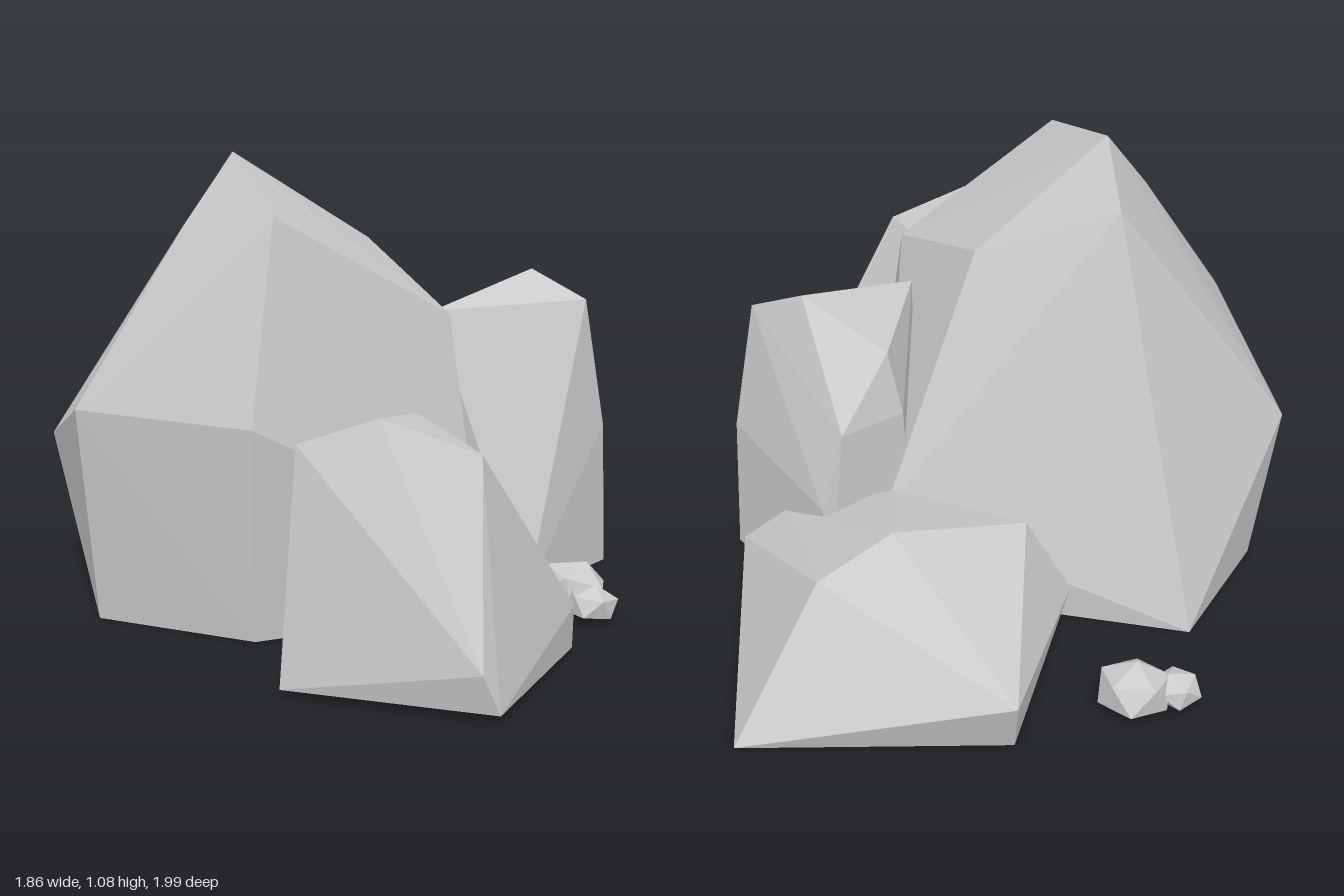
import * as THREE from 'three';
import { ConvexGeometry } from 'three/addons/geometries/ConvexGeometry.js';

const material = new THREE.MeshStandardMaterial({
  color: 0xcccccc, flatShading: true, side: THREE.DoubleSide,
});

// Faceted boulder: the hull of its corner points, left open underneath
function rock(name, corners, base = 0) {
  const points = corners.map(([x, y, z]) => new THREE.Vector3(x, y, z));
  const p = new ConvexGeometry(points).attributes.position;
  const kept = [];
  for (let i = 0; i < p.count; i += 3) {
    if (Math.max(p.getY(i), p.getY(i + 1), p.getY(i + 2)) < base + 0.005) continue;
    for (let k = i; k < i + 3; k++) kept.push(p.getX(k), p.getY(k), p.getZ(k));
  }
  const geometry = new THREE.BufferGeometry();
  geometry.setAttribute('position', new THREE.Float32BufferAttribute(kept, 3));
  geometry.computeVertexNormals();
  const mesh = new THREE.Mesh(geometry, material);
  mesh.name = name;
  return mesh;
}

// Small stone: an irregular icosahedron cut off flat at the ground
function pebble(name, x, z, radius, height, turn) {
  const base = 0.015;
  const p = new THREE.IcosahedronGeometry(1, 0).attributes.position;
  const corners = [];
  for (let i = 0; i < p.count; i++) {
    const v = new THREE.Vector3().fromBufferAttribute(p, i);
    v.applyEuler(new THREE.Euler(0.4, turn, 0.2));
    const y = base + (height - base) * (0.35 + 0.68 * v.y);
    corners.push([x + v.x * radius, Math.max(base, y), z + v.z * radius]);
  }
  return rock(name, corners, base);
}

export function createModel() {
  const group = new THREE.Group();
  group.name = 'rockCluster';

  // Tall main boulder
  group.add(rock('mainBoulder', [
    [-0.43, 1.08, -0.19], [-0.23, 1.01, -0.435], [-0.63, 0.96, 0.21], [-0.59, 0.91, -0.18],
    [-0.055, 0.85, -0.115], [-0.19, 0.71, 0.325], [-0.93, 0.51, -0.15], [-0.755, 0.5, 0.28],
    [-0.70, 0.36, -0.6], [0.27, 0.25, -0.15], [-0.19, 0.2, 0.42],
    [-0.19, 0, -0.77], [-0.58, 0, -0.62], [-0.87, 0, -0.16], [-0.72, 0, 0.24],
    [-0.19, 0, 0.4], [0.25, 0, -0.15],
  ]));

  // Upright column-like rock
  group.add(rock('columnRock', [
    [0.31, 0.76, 0.115], [-0.055, 0.685, 0.125], [0.35, 0.69, 0.27], [0.2, 0.64, -0.08],
    [0.37, 0.48, -0.11], [0.18, 0.48, -0.115], [0.42, 0.28, -0.09], [0.4, 0.36, 0.29],
    [0.015, 0, 0.39], [0.4, 0, 0.3], [0.41, 0, -0.1], [0.15, 0, -0.13], [-0.03, 0, 0.13],
  ]));

  // Low wide rock
  group.add(rock('lowRock', [
    [0.455, 0.38, -0.4], [0.68, 0.34, -0.4], [0.25, 0.31, -0.17], [0.1, 0.3, -0.48],
    [0.41, 0.2, 0.08], [0.53, 0.165, 0.09], [0.465, 0.13, -0.845], [0, 0.1, -0.54],
    [0.93, 0, -0.4], [0.5, 0, 0.15], [0.4, 0, 0.12], [0.44, 0, -0.81], [0.02, 0, -0.52],
  ]));

  // Separate front rock
  group.add(rock('frontRock', [
    [-0.745, 0.585, 0.69], [-0.87, 0.53, 0.57], [-0.45, 0.53, 0.49], [-0.56, 0.5, 0.805],
    [-0.365, 0.28, 0.41], [-0.65, 0.3, 0.33], [-0.255, 0.11, 0.79], [-0.73, 0.1, 0.98],
    [-0.92, 0.015, 0.57], [-0.64, 0.015, 0.32], [-0.365, 0.015, 0.4], [-0.26, 0.015, 0.79],
    [-0.7, 0.015, 1],
  ], 0.015));

  // Pebble pairs in front and behind
  group.add(
    pebble('frontPebbleLarge', 0.01, 0.535, 0.095, 0.115, 0.3),
    pebble('frontPebbleSmall', -0.04, 0.65, 0.066, 0.085, 1.1),
    pebble('backPebbleLarge', 0.13, -0.885, 0.095, 0.115, 2.0),
    pebble('backPebbleSmall', 0.045, -0.94, 0.063, 0.085, 0.7),
  );
  return group;
}
